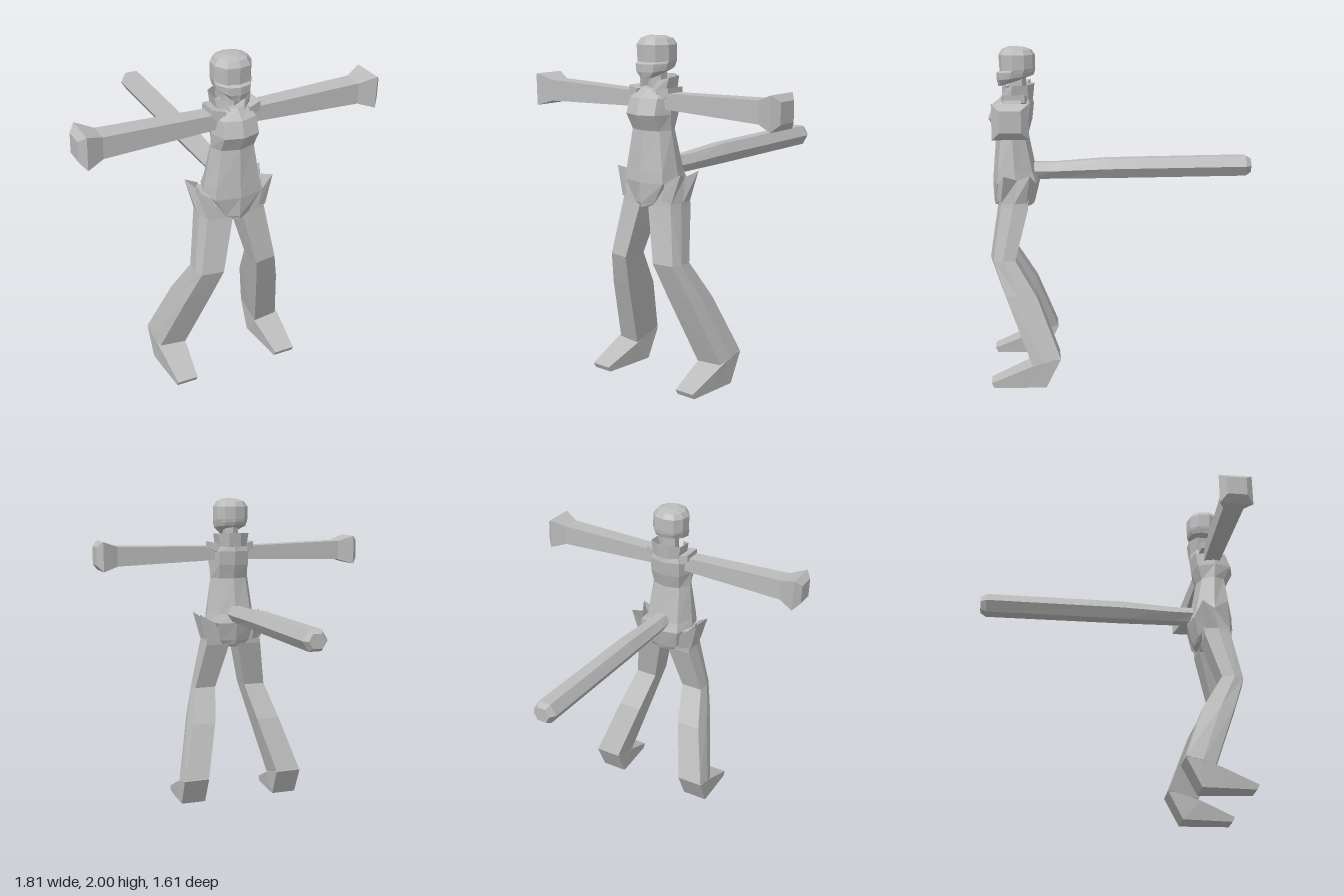
import * as THREE from 'three';

const grey = new THREE.MeshStandardMaterial({ color: 0xbbbbbb });
grey.name = 'plain grey';
grey.flatShading = true;
grey.side = THREE.DoubleSide;

function meshFrom(tris, name) {
  const g = new THREE.BufferGeometry();
  g.setAttribute('position', new THREE.Float32BufferAttribute(tris.flat(2), 3));
  g.computeVertexNormals();
  const m = new THREE.Mesh(g, grey);
  m.name = name;
  return m;
}

// Triangles between rows of points; closed rows wrap round and get end caps
function loft(rows, name, closed = true) {
  const tris = [], n = rows[0].length;
  for (let r = 0; r < rows.length - 1; r++) {
    for (let i = 0; i < (closed ? n : n - 1); i++) {
      const j = (i + 1) % n, a = rows[r], b = rows[r + 1];
      tris.push([a[i], a[j], b[j]], [a[i], b[j], b[i]]);
    }
  }
  if (closed) {
    const first = rows[0], last = rows[rows.length - 1];
    for (let i = 1; i < n - 1; i++) {
      tris.push([first[0], first[i + 1], first[i]], [last[0], last[i], last[i + 1]]);
    }
    // Turn faces outward when the enclosed volume is negative
    let volume = 0;
    for (const [a, b, c] of tris) {
      volume += new THREE.Vector3(...a).dot(new THREE.Vector3(...b).cross(new THREE.Vector3(...c)));
    }
    if (volume < 0) tris.forEach(t => t.reverse());
  }
  return meshFrom(tris, name);
}

const flip = p => [-p[0], p[1], p[2]];
const mirrorRows = rows => rows.map(r => r.map(flip));
// Full ring from the half that runs front centre to back centre
const ringFromHalf = h => [...h, ...h.slice(1, -1).reverse().map(flip)];

export function createModel() {
  const group = new THREE.Group();
  const pair = (rows, name, closed) => {
    group.add(loft(rows, 'left' + name, closed), loft(mirrorRows(rows), 'right' + name, closed));
  };

  // Torso: y, front z, front half width, middle half width, back half width, back z
  const torso = [
    [1.045, 0.77, 0.045, 0.06, 0.08, 0.535],
    [1.07, 0.775, 0.07, 0.10, 0.10, 0.525],
    [1.19, 0.78, 0.14, 0.17, 0.12, 0.495],
    [1.25, 0.775, 0.135, 0.16, 0.11, 0.515],
    [1.48, 0.755, 0.10, 0.13, 0.09, 0.56],
    [1.57, 0.80, 0.105, 0.135, 0.10, 0.535],
    [1.66, 0.77, 0.10, 0.13, 0.10, 0.525],
    [1.71, 0.71, 0.07, 0.10, 0.08, 0.535],
  ].map(([y, zf, wf, wm, wb, zb]) => ringFromHalf([
    [0, y, zf], [wf, y, zf - 0.03], [wm, y, (zf + zb) / 2], [wb, y, zb + 0.025], [0, y, zb],
  ]));
  group.add(loft(torso, 'torso'));

  // Crotch piece between the legs
  const crotch = [[1.02, 0.025, 0.70, 0.58], [1.08, 0.05, 0.74, 0.55]]
    .map(([y, w, f, b]) => [[-w, y, f], [w, y, f], [w, y, b], [-w, y, b]]);
  group.add(loft(crotch, 'crotch'));

  // Head: front y, back y, half width, front z, back z
  const head = [
    [1.762, 1.815, 0.055, 0.735, 0.57],
    [1.80, 1.83, 0.10, 0.745, 0.525],
    [1.845, 1.85, 0.108, 0.745, 0.517],
    [1.855, 1.87, 0.11, 0.727, 0.515],
    [1.95, 1.95, 0.11, 0.732, 0.515],
    [1.985, 1.98, 0.088, 0.71, 0.535],
    [2.0, 1.995, 0.045, 0.67, 0.575],
  ].map(([yf, yb, w, zf, zb]) => ringFromHalf(
    [[0, 1], [0.62, 0.85], [1, 0.25], [0.95, -0.4], [0.6, -0.86], [0, -1]].map(([x, t]) =>
      [x * w, (yf + yb) / 2 + t * (yf - yb) / 2, (zf + zb) / 2 + t * (zf - zb) / 2])));
  group.add(loft(head, 'head'));

  // Neck
  const neck = new THREE.Mesh(new THREE.CylinderGeometry(0.05, 0.055, 0.2, 6), grey);
  neck.position.set(0, 1.74, 0.62);
  neck.name = 'neck';
  group.add(neck);

  // Collar, open at the front
  const collar = [
    [[0.035, 1.68, 0.72], [0.09, 1.67, 0.67], [0.09, 1.69, 0.56], [0.04, 1.69, 0.53]],
    [[0.055, 1.755, 0.69], [0.11, 1.77, 0.65], [0.105, 1.775, 0.56], [0.04, 1.78, 0.52]],
  ].map(r => [...r, ...[...r].reverse().map(flip)]);
  group.add(loft(collar, 'collar', false));

  // Arms with flared hands: x, low y, high y, back z, front z
  const box = ([x, y0, y1, z0, z1]) => [[x, y0, z1], [x, y1, z1], [x, y1, z0], [x, y0, z0]];
  pair([
    [0.08, 1.605, 1.685, 0.60, 0.70],
    [0.15, 1.60, 1.69, 0.60, 0.70],
    [0.77, 1.58, 1.705, 0.59, 0.71],
    [0.868, 1.55, 1.74, 0.55, 0.745],
    [0.905, 1.59, 1.705, 0.59, 0.705],
  ].map(box), 'Arm');

  // Shoulder pads
  pair([[0.07, 1.63, 1.705, 0.56, 0.72], [0.145, 1.675, 1.72, 0.58, 0.70]].map(box), 'ShoulderPad');

  // Legs: inner x, outer x, front y and z, back y and z
  const leg = [
    [0.08, 0.17, 1.20, 0.73, 1.20, 0.56],
    [0.03, 0.19, 1.06, 0.75, 1.04, 0.57],
    [0.105, 0.245, 0.74, 0.80, 0.74, 0.65],
    [0.15, 0.305, 0.54, 0.73, 0.52, 0.52],
    [0.24, 0.405, 0.13, 0.575, 0.18, 0.39],
  ].map(([xi, xo, yf, zf, yb, zb]) => [
    [xi, yf, zf], [xo - 0.01, yf, zf - 0.02], [xo + 0.008, (yf + yb) / 2, (zf + zb) / 2],
    [xo, yb, zb], [xi, yb, zb],
  ]);
  pair(leg, 'Leg');

  // Feet: wedge sections from heel to toe
  const foot = [
    [[0.24, 0.175, 0.387], [0.408, 0.175, 0.387], [0.408, 0.17, 0.39], [0.24, 0.17, 0.39]],
    [[0.24, 0.165, 0.47], [0.408, 0.165, 0.47], [0.405, 0, 0.475], [0.242, 0, 0.475]],
    [[0.24, 0.12, 0.59], [0.405, 0.12, 0.59], [0.40, 0, 0.60], [0.25, 0, 0.60]],
    [[0.265, 0.03, 0.80], [0.39, 0.03, 0.80], [0.39, 0, 0.785], [0.265, 0, 0.785]],
  ];
  pair(foot, 'Foot');

  // Spiked hip flaps round the top of each thigh
  pair([
    [[0.13, 1.10, 0.755], [0.185, 1.08, 0.73], [0.205, 1.08, 0.65], [0.195, 1.08, 0.58], [0.12, 1.07, 0.54]],
    [[0.15, 1.19, 0.745], [0.238, 1.25, 0.71], [0.20, 1.22, 0.63], [0.238, 1.25, 0.555], [0.14, 1.19, 0.52]],
  ], 'HipFlap', false);

  // Six-sided tail: z, half width, edge half width, low y, high y
  const tail = [
    [0.56, 0.058, 0.03, 1.20, 1.30],
    [0.40, 0.062, 0.03, 1.20, 1.30],
    [0.08, 0.07, 0.035, 1.20, 1.32],
    [-0.77, 0.075, 0.038, 1.205, 1.327],
    [-0.805, 0.052, 0.028, 1.225, 1.308],
  ].map(([z, w, e, y0, y1]) => {
    const m = (y0 + y1) / 2;
    return [[w, m, z], [e, y1, z], [-e, y1, z], [-w, m, z], [-e, y0, z], [e, y0, z]];
  });
  group.add(loft(tail, 'tail'));

  return group;
}
